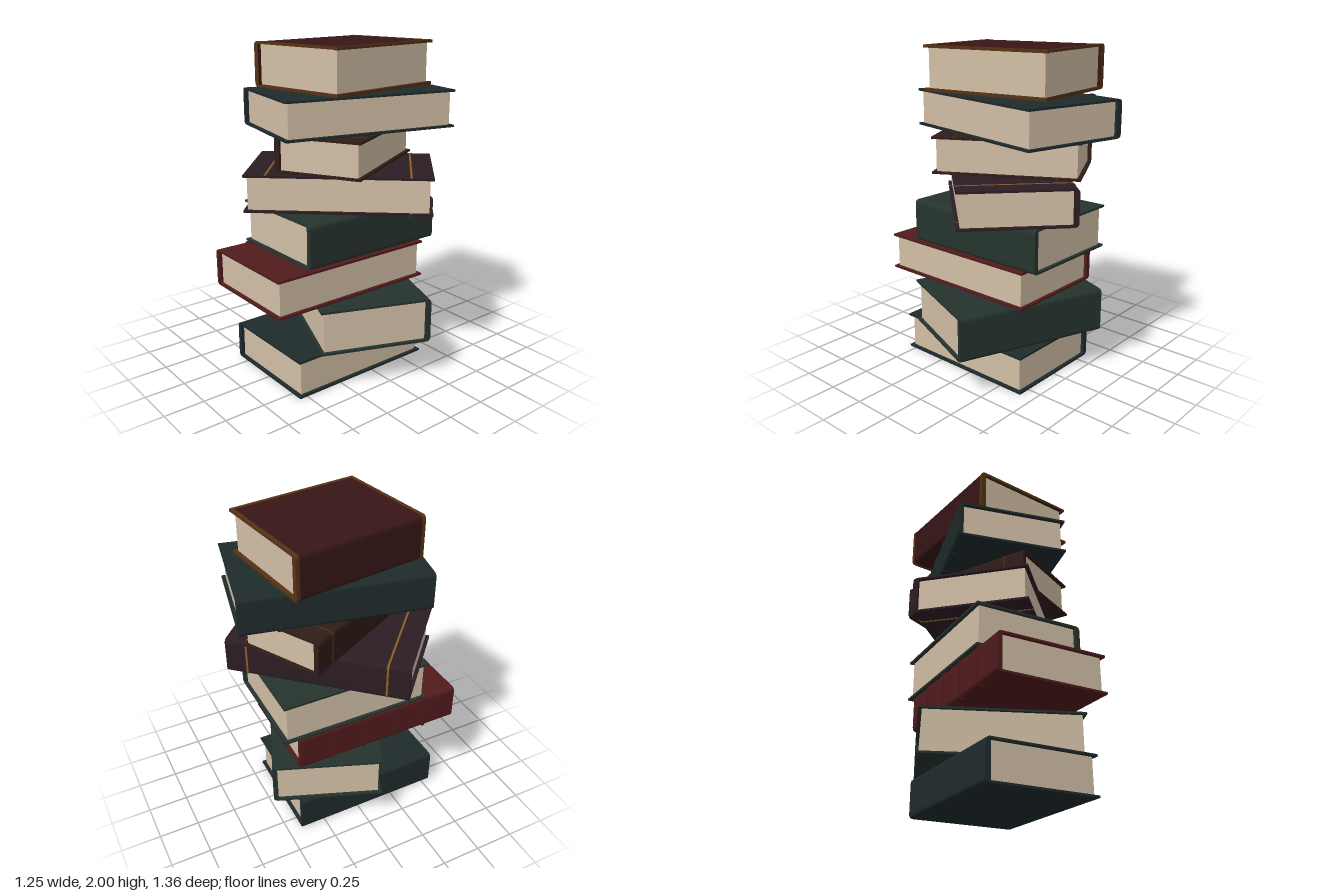
import * as THREE from 'three';

const BOARD = 0.013, SPINE = 0.03, INSET = 0.022, ROUND = 0.028;
const PAPER = 0xd2bfa6, GOLD = 0x8a5f22, TRIM = 0x553214;

// Each book: footprint w (spine to fore edge) by l, bottom y0 to top y1, centre x/z, turn about y.
// ribs = raised ridges on the spine, bands = gold strips round the cover, trim = coloured border.
const BOOKS = [
  { w: 0.68, l: 0.96, y0: 0.0, y1: 0.237, x: -0.01, z: 0.07, turn: 0, color: 0x1f2a2c },
  { w: 0.68, l: 0.96, y0: 0.25, y1: 0.525, x: 0.05, z: -0.07, turn: -1.95, color: 0x24322d },
  { w: 0.68, l: 1.09, y0: 0.535, y1: 0.766, x: -0.015, z: 0.135, turn: 0, color: 0x511b1c, ribs: 4 },
  { w: 0.68, l: 0.96, y0: 0.772, y1: 1.038, x: -0.02, z: -0.02, turn: Math.PI, color: 0x26342d },
  { w: 0.68, l: 1.1, y0: 1.04, y1: 1.264, x: 0, z: -0.02, turn: -0.745, color: 0x2b1d24, bands: 0.42 },
  { w: 0.535, l: 0.872, y0: 1.268, y1: 1.488, x: -0.015, z: -0.07, turn: 0.49, color: 0x301d18, bands: 0.3, bandColor: 0x4a2c18 },
  { w: 0.67, l: 1.09, y0: 1.493, y1: 1.718, x: -0.01, z: -0.075, turn: -0.21, color: 0x1f2a2b, ribs: 4 },
  { w: 0.67, l: 0.82, y0: 1.737, y1: 1.998, x: -0.025, z: -0.06, turn: 0.135, color: 0x371516, trim: true },
];

const material = (color) => new THREE.MeshStandardMaterial({ color });

function add(group, name, geometry, mat, x = 0, y = 0, z = 0) {
  const mesh = new THREE.Mesh(geometry, mat);
  mesh.name = name;
  mesh.position.set(x, y, z);
  group.add(mesh);
}

// C-shaped cover section, spine at -x, run along z; grow swells it outwards.
function wrap(w, h, length, grow = 0, reach = w) {
  const left = -w / 2 - grow, right = -w / 2 + reach;
  const bottom = -grow, top = h + grow, inner = -w / 2 + SPINE;
  const s = new THREE.Shape();
  s.moveTo(right, bottom);
  s.lineTo(left + ROUND, bottom);
  s.quadraticCurveTo(left, bottom, left, bottom + ROUND);
  s.lineTo(left, top - ROUND);
  s.quadraticCurveTo(left, top, left + ROUND, top);
  s.lineTo(right, top);
  s.lineTo(right, h - BOARD);
  s.lineTo(inner, h - BOARD);
  s.lineTo(inner, BOARD);
  s.lineTo(right, BOARD);
  s.closePath();
  const g = new THREE.ExtrudeGeometry(s, { depth: length, bevelEnabled: false, curveSegments: 5 });
  return g.translate(0, 0, -length / 2);
}

function makeBook(b) {
  const book = new THREE.Group();
  const h = b.y1 - b.y0;
  const cover = material(b.color);
  add(book, 'cover', wrap(b.w, h, b.l), cover);

  // Page block, set back from the three open edges
  const pageW = b.w - SPINE - INSET;
  add(book, 'pages', new THREE.BoxGeometry(pageW, h - 2 * BOARD, b.l - 2 * INSET),
    material(PAPER), (SPINE - INSET) / 2, h / 2);

  // Ridges across the spine
  for (let i = 1; i <= (b.ribs || 0); i++) {
    add(book, 'spineRib', wrap(b.w, h, 0.014, 0.006, 0.045), cover, 0, 0, (i / (b.ribs + 1) - 0.5) * b.l);
  }

  // Strips round the whole cover near both ends
  if (b.bands) {
    const mat = material(b.bandColor || GOLD);
    for (const side of [-1, 1]) {
      add(book, 'coverBand', wrap(b.w, h, 0.012, 0.002), mat, 0, 0, side * b.bands);
    }
  }

  // Border along both ends and the fore edge
  if (b.trim) {
    const mat = material(TRIM);
    const edge = 0.022;
    for (const side of [-1, 1]) {
      add(book, 'endTrim', wrap(b.w, h, edge, 0.002), mat, 0, 0, side * (b.l - edge + 0.002) / 2);
    }
    for (const y of [BOARD / 2, h - BOARD / 2]) {
      add(book, 'foreEdgeTrim', new THREE.BoxGeometry(edge, BOARD + 0.004, b.l), mat, (b.w - edge + 0.002) / 2, y);
    }
  }

  book.position.set(b.x, b.y0, b.z);
  book.rotation.y = b.turn;
  return book;
}

export function createModel() {
  const stack = new THREE.Group();
  stack.name = 'bookStack';
  BOOKS.forEach((b, i) => {
    const book = makeBook(b);
    book.name = `book${i + 1}`;
    stack.add(book);
  });
  return stack;
}
